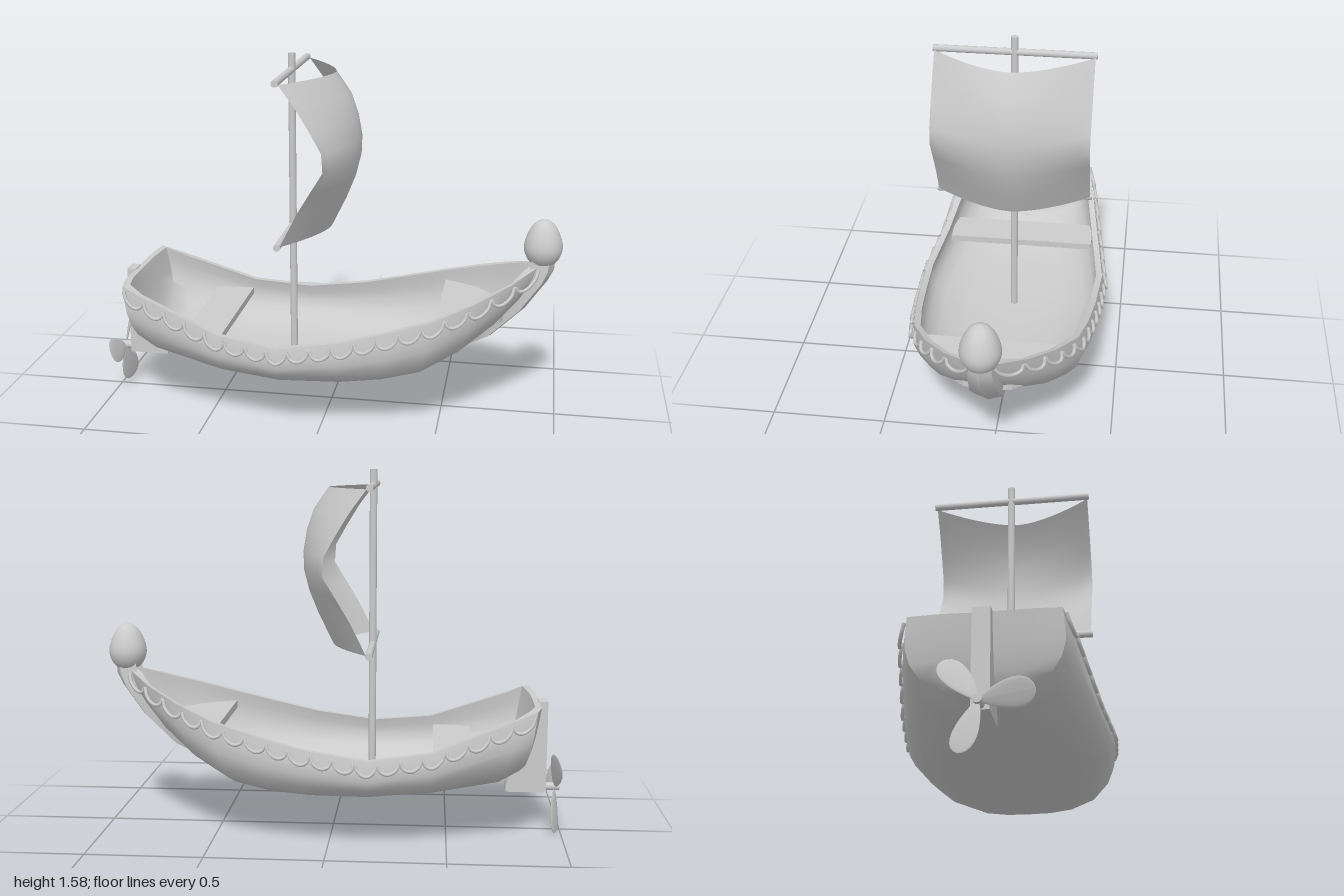
import * as THREE from 'three';
import { toCreasedNormals } from 'three/addons/utils/BufferGeometryUtils.js';

const material = new THREE.MeshStandardMaterial({ color: 0xcccccc, side: THREE.DoubleSide });
const lerp = THREE.MathUtils.lerp;

function add(parent, name, geometry, x = 0, y = 0, z = 0) {
  const mesh = new THREE.Mesh(geometry, material);
  mesh.name = name;
  mesh.position.set(x, y, z);
  parent.add(mesh);
  return mesh;
}

// Skin a list of equally long rows of [x, y, z] points
function loft(rows, crease = 0.7) {
  const n = rows[0].length, index = [];
  for (let i = 0; i < rows.length - 1; i++)
    for (let j = 0; j < n - 1; j++) {
      const a = i * n + j, b = a + n;
      index.push(a, b, a + 1, b, b + 1, a + 1);
    }
  const g = new THREE.BufferGeometry();
  g.setAttribute('position', new THREE.Float32BufferAttribute(rows.flat(2), 3));
  g.setIndex(index);
  g.computeVertexNormals();
  return toCreasedNormals(g, crease);
}

// Hull stations, stern to bow: x at gunwale, x at keel, y gunwale, y keel, half width
const stations = [
  [-0.90, -0.80, 0.58, 0.30, 0],
  [-0.895, -0.80, 0.585, 0.295, 0.17],
  [-0.87, -0.79, 0.595, 0.29, 0.29],
  [-0.78, -0.70, 0.56, 0.24, 0.315],
  [-0.43, -0.43, 0.43, 0.20, 0.375],
  [-0.17, -0.17, 0.40, 0.185, 0.41],
  [0.10, 0.08, 0.44, 0.18, 0.395],
  [0.30, 0.24, 0.49, 0.19, 0.375],
  [0.48, 0.38, 0.54, 0.22, 0.345],
  [0.65, 0.52, 0.60, 0.30, 0.265],
  [0.79, 0.66, 0.655, 0.41, 0.165],
  [0.87, 0.78, 0.69, 0.52, 0.075],
  [0.92, 0.86, 0.71, 0.62, 0.02],
];
// Half section: width factor, height fraction
const profile = [[1, 1], [1.025, 0.8], [1.03, 0.6], [0.97, 0.4], [0.84, 0.22], [0.55, 0.07], [0.28, 0.02], [0, 0]];

function section([xTop, xKeel, yTop, yKeel, w], inset) {
  const width = Math.max(0, w - inset);
  const shift = xTop < -0.8 ? inset : xTop > 0.8 ? -inset : 0;
  const half = profile.map(([f, t]) => [
    lerp(xKeel, xTop, Math.sqrt(t)) + shift,
    lerp(yKeel + inset, yTop, t),
    width * f,
  ]);
  return [...half, ...half.slice(0, -1).reverse().map(([x, y, z]) => [x, y, -z])];
}

function gunwale(x) {
  let i = 2;
  while (i < stations.length - 2 && stations[i + 1][0] < x) i++;
  const a = stations[i], b = stations[i + 1], k = (x - a[0]) / (b[0] - a[0]);
  return { y: lerp(a[2], b[2], k), w: lerp(a[4], b[4], k) };
}

function buildHull() {
  const hull = new THREE.Group();
  hull.name = 'hull';
  const outer = stations.map(s => section(s, 0));
  const inner = stations.map(s => section(s, 0.027));
  add(hull, 'outerHull', loft(outer));
  add(hull, 'innerHull', loft(inner));
  const last = outer[0].length - 1;
  for (const j of [0, last])
    add(hull, 'gunwaleRim', loft(outer.map((row, i) => [row[j], inner[i][j]])));

  // Keeled stem at the bow: inner x, y, outer x, y, half width
  const stem = [
    [0.50, 0.30, 0.50, 0.285, 0.01], [0.56, 0.33, 0.59, 0.315, 0.06],
    [0.66, 0.42, 0.71, 0.365, 0.07], [0.76, 0.52, 0.85, 0.50, 0.07],
    [0.84, 0.62, 0.94, 0.63, 0.06], [0.86, 0.68, 0.965, 0.68, 0.055],
    [0.87, 0.73, 0.97, 0.735, 0.05], [0.92, 0.735, 0.92, 0.735, 0],
  ];
  add(hull, 'stem', loft(stem.map(([ix, iy, ox, oy, w]) => {
    const mx = lerp(ix, ox, 0.75), my = lerp(iy, oy, 0.75);
    return [[ix, iy, w], [mx, my, w * 0.85], [ox, oy, 0], [mx, my, -w * 0.85], [ix, iy, -w]];
  })));
  return hull;
}

// Rope draped in scallops along each side
function buildRopes(parent) {
  const count = 19, steps = 8, x0 = -0.86, x1 = 0.9;
  for (const side of [1, -1]) {
    const points = [];
    for (let i = 0; i <= count * steps; i++) {
      const x = lerp(x0, x1, i / (count * steps));
      const sag = Math.sqrt(Math.abs(Math.sin(Math.PI * i / steps)));
      const { y, w } = gunwale(x);
      points.push(new THREE.Vector3(x, y - 0.015 - 0.045 * sag, side * (w * 1.01 + 0.006 + 0.012 * sag)));
    }
    const path = new THREE.CatmullRomCurve3(points);
    add(parent, 'scallopedRope', new THREE.TubeGeometry(path, count * 16, 0.008, 6));
  }
}

function buildSeats(parent) {
  add(parent, 'rearSeat', new THREE.BoxGeometry(0.17, 0.03, 0.68), -0.525, 0.375, 0);
  const half = [[0.48, 0.325], [0.64, 0.235], [0.75, 0.1], [0.77, 0]];
  const outline = [...half, ...half.slice(0, -1).reverse().map(([x, z]) => [x, -z])];
  const shape = new THREE.Shape(outline.map(p => new THREE.Vector2(...p)));
  const g = new THREE.ExtrudeGeometry(shape, { depth: 0.035, bevelEnabled: false });
  add(parent, 'bowSeat', g.rotateX(Math.PI / 2), 0, 0.495, 0);
}

function buildRig() {
  const rig = new THREE.Group();
  rig.name = 'rig';
  add(rig, 'mast', new THREE.CylinderGeometry(0.016, 0.016, 1.37, 12), -0.172, 0.895, 0);
  for (const y of [1.51, 0.825])
    add(rig, 'yard', new THREE.CylinderGeometry(0.015, 0.015, 0.695, 10).rotateX(Math.PI / 2), -0.172, y, 0);
  // Sail rows: y, x at the edges, x in the middle
  const rows = [
    [1.505, -0.16, 0.02], [1.41, -0.09, 0.085], [1.32, -0.035, 0.115], [1.23, 0.015, 0.13],
    [1.15, 0.02, 0.127], [1.06, -0.035, 0.105], [0.96, -0.095, 0.065], [0.828, -0.16, 0.0],
  ];
  const columns = 16;
  add(rig, 'sail', loft(rows.map(([y, edge, middle]) =>
    Array.from({ length: columns + 1 }, (_, j) => {
      const u = j / columns * 2 - 1;
      return [lerp(middle, edge, Math.abs(u) ** 1.6), y, u * 0.34];
    })), 1.2));
  return rig;
}

function buildMotor() {
  const motor = new THREE.Group();
  motor.name = 'motor';
  const outline = [[-0.935, 0.585], [-0.895, 0.585], [-0.84, 0.38], [-0.78, 0.27], [-0.76, 0.215], [-0.76, 0.18], [-0.935, 0.18]];
  const shape = new THREE.Shape(outline.map(p => new THREE.Vector2(...p)));
  add(motor, 'sternPost', new THREE.ExtrudeGeometry(shape, { depth: 0.07, bevelEnabled: false }), 0, 0, -0.035);
  add(motor, 'propellerShaft', new THREE.CylinderGeometry(0.018, 0.018, 0.07, 12).rotateZ(Math.PI / 2), -0.96, 0.2, 0);

  // Blade: flattened ball, widened toward the tip and pitched
  const blade = new THREE.SphereGeometry(1, 14, 12);
  const p = blade.attributes.position;
  for (let i = 0; i < p.count; i++) {
    const y = p.getY(i);
    p.setXYZ(i, p.getX(i) * 0.006, 0.105 + y * 0.1, p.getZ(i) * (0.052 + 0.022 * y));
  }
  blade.rotateY(0.38);
  blade.computeVertexNormals();
  for (let k = 0; k < 3; k++) {
    const mesh = add(motor, 'propellerBlade', blade, -0.973, 0.2, 0);
    mesh.rotation.x = -2.79 + k * Math.PI * 2 / 3;
  }
  return motor;
}

export function createModel() {
  const boat = new THREE.Group();
  boat.name = 'boat';
  boat.add(buildHull(), buildRig(), buildMotor());
  buildRopes(boat);
  buildSeats(boat);

  // Egg-shaped bow ornament
  const egg = [[0, 0.70], [0.045, 0.708], [0.07, 0.735], [0.082, 0.775], [0.075, 0.82], [0.055, 0.865], [0.03, 0.893], [0, 0.905]];
  const curve = new THREE.SplineCurve(egg.map(q => new THREE.Vector2(...q)));
  const points = curve.getPoints(20).map(q => q.setX(Math.max(0, q.x)));
  add(boat, 'bowOrnament', new THREE.LatheGeometry(points, 24), 0.915, 0, 0);
  return boat;
}
